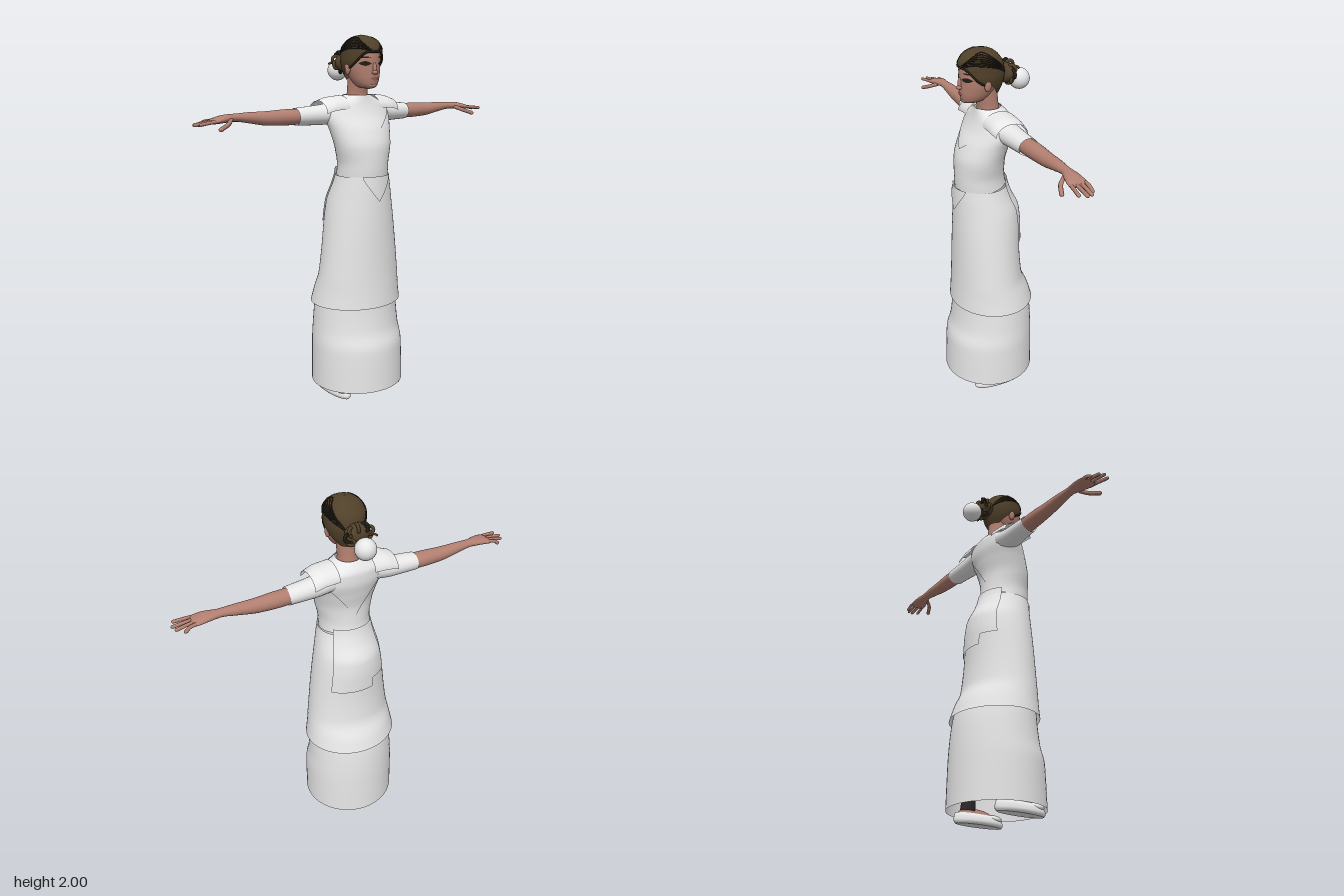
import * as THREE from 'three';
import { mergeVertices } from 'three/addons/utils/BufferGeometryUtils.js';

const mat = (name, color, side = THREE.DoubleSide) => {
  const m = new THREE.MeshStandardMaterial({ color, side });
  m.name = name;
  return m;
};

// Monotone cubic through column k of the rings [y, halfWidth, zFront, zBack, xCentre]
function sample(rings, y, k) {
  const n = rings.length, v = i => rings[i][k] ?? 0;
  let i = 0;
  while (i < n - 2 && y > rings[i + 1][0]) i++;
  const d = j => (v(j + 1) - v(j)) / (rings[j + 1][0] - rings[j][0]);
  const slope = j => {
    if (j === 0) return d(0);
    if (j === n - 1) return d(n - 2);
    const a = d(j - 1), b = d(j);
    return a * b <= 0 ? 0 : 2 * a * b / (a + b);
  };
  const h = rings[i + 1][0] - rings[i][0];
  const t = THREE.MathUtils.clamp((y - rings[i][0]) / h, 0, 1), t2 = t * t, t3 = t2 * t;
  return (2 * t3 - 3 * t2 + 1) * v(i) + (t3 - 2 * t2 + t) * h * slope(i)
    + (3 * t2 - 2 * t3) * v(i + 1) + (t3 - t2) * h * slope(i + 1);
}

// Point on the lofted surface; angle a runs from the front (+z) towards +x
function pointOn(rings, y, a, off = 0) {
  const [w, f, b, cx] = [1, 2, 3, 4].map(k => sample(rings, y, k));
  return new THREE.Vector3(cx + (w + off) * Math.sin(a), y, (f + b) / 2 + ((f - b) / 2 + off) * Math.cos(a));
}

// Piece of a loft between two angles and two (angle dependent) heights
function patch(rings, { a0 = 0, a1 = Math.PI * 2, lo, hi, off = 0, na = 40, ny = 28 } = {}) {
  const bottom = lo ?? (() => rings[0][0]), top = hi ?? (() => rings[rings.length - 1][0]);
  const pos = [], idx = [];
  for (let j = 0; j <= ny; j++) for (let i = 0; i <= na; i++) {
    const a = a0 + (a1 - a0) * i / na;
    const y = THREE.MathUtils.lerp(bottom(a), top(a), j / ny);
    pos.push(...pointOn(rings, y, a, off).toArray());
    if (i < na && j < ny) {
      const p = j * (na + 1) + i, q = p + na + 1;
      idx.push(p, p + 1, q + 1, p, q + 1, q);
    }
  }
  let g = new THREE.BufferGeometry();
  g.setAttribute('position', new THREE.Float32BufferAttribute(pos, 3));
  g.setIndex(idx);
  g = mergeVertices(g, 1e-5);
  g.computeVertexNormals();
  return g;
}

export function createModel() {
  const root = new THREE.Group();
  root.name = 'womanInLongDress';
  const white = mat('white cloth', 0xf6f6f6), skin = mat('skin', 0xb27f70), hair = mat('brown hair', 0x51412a),
    dark = mat('dark strands', 0x211d16), lip = mat('lips', 0x96605a), stocking = mat('dark stockings', 0x2b2826);
  const add = (name, geo, m) => {
    const mesh = new THREE.Mesh(geo, m);
    mesh.name = name;
    root.add(mesh);
    return mesh;
  };
  const ball = (name, m, [x, y, z], [rx, ry, rz]) => {
    const b = add(name, new THREE.SphereGeometry(1, 24, 16), m);
    b.position.set(x, y, z);
    b.scale.set(rx, ry, rz);
  };
  const tube = (name, pts, r, m) =>
    add(name, new THREE.TubeGeometry(new THREE.CatmullRomCurve3(pts), 16, r, 8), m);
  const V = (x, y, z) => new THREE.Vector3(x, y, z);

  // Skirts
  add('underskirt', patch([[0.045, 0.265, 0.26, -0.26], [0.28, 0.262, 0.25, -0.255], [0.38, 0.252, 0.222, -0.25],
    [0.52, 0.24, 0.207, -0.235], [0.7, 0.22, 0.2, -0.17]], { na: 56 }), white);
  const skirt = [[0.525, 0.265, 0.22, -0.25], [0.6, 0.252, 0.215, -0.225], [0.7, 0.237, 0.21, -0.182],
    [0.9, 0.213, 0.205, -0.168], [1.0, 0.2, 0.203, -0.168], [1.1, 0.184, 0.2, -0.16], [1.2, 0.162, 0.196, -0.115],
    [1.255, 0.15, 0.193, -0.095], [1.3, 0.146, 0.19, -0.085]];
  add('overskirt', patch(skirt, { hi: () => 1.255, na: 56 }), white);
  const P = Math.PI;
  add('jacketTail', patch(skirt, { a0: P - 0.85, a1: P + 0.85, lo: a => a < P + 0.3 ? 0.92 : 0.98, hi: () => 1.29, off: 0.008 }), white);
  add('waistPoint', patch(skirt, { a0: -0.6, a1: 0.6, lo: a => 1.25 - 0.13 * (1 - Math.abs(a) / 0.6), hi: () => 1.258, off: 0.008, ny: 6 }), white);

  // Bodice and its pointed collar, front and back
  const bodice = [[1.23, 0.143, 0.187, -0.1], [1.3, 0.143, 0.19, -0.082], [1.4, 0.162, 0.186, -0.077],
    [1.5, 0.185, 0.152, -0.094], [1.58, 0.205, 0.105, -0.108], [1.63, 0.192, 0.083, -0.106],
    [1.66, 0.125, 0.074, -0.09], [1.685, 0.066, 0.068, -0.066]];
  add('bodice', patch(bodice, { lo: a => 1.25 - 0.02 * Math.cos(a) }), white);
  for (const [name, c, tip] of [['frontCollar', 0, 1.47], ['backCollar', P, 1.36]])
    add(name, patch(bodice, { a0: c - 0.95, a1: c + 0.95, lo: a => tip + (1.6 - tip) * Math.abs(a - c) / 0.95, off: 0.005 }), white);

  // Arms, sleeves, shoulder flaps and hands; rings are [x, yCentre, halfHeight, zFront, zBack]
  for (const s of [1, -1]) {
    const side = s > 0 ? 'left' : 'right';
    const limb = (name, rings, m, opt) => add(side + name,
      patch(rings.map(([x, y, h, f, b]) => [x, h, f, b, -s * y]), { na: 24, ny: 24, ...opt }).rotateZ(-s * P / 2), m);
    limb('Sleeve', [[0.12, 1.595, 0.06, 0.05, -0.1], [0.22, 1.582, 0.054, 0.025, -0.1], [0.37, 1.578, 0.046, 0.008, -0.1]], white);
    limb('ShoulderFlap', [[0.1, 1.615, 0.068, 0.08, -0.112], [0.18, 1.61, 0.066, 0.078, -0.112], [0.24, 1.595, 0.063, 0.068, -0.11]],
      white, { a0: s > 0 ? P : 0, a1: s > 0 ? 2 * P : P });
    limb('Arm', [[0.3, 1.578, 0.04, 0, -0.09], [0.42, 1.578, 0.042, -0.005, -0.096], [0.52, 1.578, 0.038, -0.012, -0.092],
      [0.65, 1.588, 0.027, -0.02, -0.082], [0.72, 1.592, 0.02, -0.023, -0.075], [0.78, 1.59, 0.02, -0.003, -0.083],
      [0.84, 1.582, 0.015, 0.01, -0.087], [0.865, 1.578, 0.003, 0, -0.078]], skin);
    const fingers = [[0.9, 1.562, -0.079], [0.935, 1.567, -0.052], [0.945, 1.57, -0.024], [0.93, 1.573, 0.012]];
    fingers.forEach(([x, y, z], i) => {
      const z0 = -0.073 + i * 0.023;
      tube(side + 'Finger', [V(s * 0.82, 1.583, z0), V(s * 0.875, 1.579, (z + z0) / 2), V(s * x, y, z)], 0.009, skin);
      ball(side + 'Fingertip', skin, [s * x, y, z], [0.011, 0.009, 0.009]);
    });
    tube(side + 'Thumb', [V(s * 0.755, 1.585, -0.02), V(s * 0.79, 1.567, 0.018), V(s * 0.84, 1.548, 0.042)], 0.011, skin);
    ball(side + 'ThumbTip', skin, [s * 0.842, 1.547, 0.043], [0.013, 0.011, 0.011]);

    // Shoe, foot and stocking
    const cx = s * 0.18;
    add(side + 'Shoe', patch([[0.001, 0.042, 0.16, -0.13, cx], [0.015, 0.052, 0.17, -0.14, cx],
      [0.04, 0.047, 0.162, -0.138, cx], [0.058, 0.034, 0.12, -0.13, cx]], { ny: 8 }), white);
    const sole = add(side + 'Sole', new THREE.CircleGeometry(1, 32), white);
    sole.rotation.x = P / 2;
    sole.scale.set(0.042, 0.145, 1);
    sole.position.set(cx, 0.001, 0.015);
    ball(side + 'ShoeToe', white, [cx, 0.045, 0.1], [0.042, 0.024, 0.06]);
    ball(side + 'Foot', skin, [cx, 0.052, -0.01], [0.034, 0.035, 0.11]);
    add(side + 'Stocking', patch([[0.07, 0.033, -0.01, -0.1, cx], [0.15, 0.035, -0.015, -0.09, cx],
      [0.35, 0.05, 0.02, -0.09, cx * 0.8], [0.6, 0.06, 0.05, -0.08, cx * 0.6]], { na: 20, ny: 12 }), stocking);
  }

  // Neck and head
  add('neck', patch([[1.64, 0.068, 0.06, -0.065], [1.69, 0.055, 0.062, -0.055], [1.8, 0.055, 0.09, -0.045]], { ny: 10 }), skin);
  const head = [[1.718, 0.004, 0.11, 0.1], [1.724, 0.032, 0.143, 0.045], [1.74, 0.055, 0.152, 0.015], [1.78, 0.075, 0.158, -0.025],
    [1.83, 0.087, 0.158, -0.05], [1.88, 0.09, 0.157, -0.06], [1.93, 0.085, 0.148, -0.05], [1.97, 0.05, 0.11, 0]];
  add('head', patch(head, { ny: 40 }), skin);
  ball('nose', skin, [0, 1.825, 0.156], [0.012, 0.032, 0.015]);
  ball('noseTip', skin, [0, 1.806, 0.161], [0.017, 0.011, 0.018]);
  ball('chin', skin, [0, 1.738, 0.135], [0.026, 0.014, 0.02]);
  add('lips', patch(head, { a0: -0.36, a1: 0.36, off: 0.004, na: 12, ny: 4,
    lo: a => 1.775 - 0.011 * Math.cos(a * 4.3), hi: a => 1.775 + 0.009 * Math.cos(a * 4.3) }), lip);
  for (const s of [1, -1]) {
    const lens = (name, y, h, m) => add(name, patch(head, { a0: s * 0.58 - 0.36, a1: s * 0.58 + 0.36, off: 0.003, na: 12, ny: 4,
      lo: a => y - h * Math.cos((a - s * 0.58) * 4.3), hi: a => y + h * Math.cos((a - s * 0.58) * 4.3) }), m);
    lens('eye', 1.852, 0.012, dark);
    lens('eyebrow', 1.884, 0.004, dark);
    ball('ear', skin, [s * 0.093, 1.825, 0.045], [0.012, 0.032, 0.02]);
  }

  // Swept-back hair with dark strands
  const cap = [[1.755, 0.06, 0.1, -0.05], [1.82, 0.094, 0.14, -0.075], [1.87, 0.106, 0.16, -0.083], [1.92, 0.107, 0.162, -0.075],
    [1.96, 0.088, 0.142, -0.05], [1.985, 0.058, 0.105, -0.018], [1.997, 0.022, 0.062, 0.018], [2.0, 0.001, 0.041, 0.039]];
  const hairline = a => {
    const b = Math.abs(Math.atan2(Math.sin(a), Math.cos(a)));
    return b < 1.4 ? 1.912 - 0.085 * THREE.MathUtils.smoothstep(b, 0.35, 1.4)
      : 1.827 - 0.062 * THREE.MathUtils.smoothstep(b, 1.5, 2.3);
  };
  add('hairCap', patch(cap, { lo: hairline, off: 0.001, ny: 32 }), hair);
  for (const s of [1, -1]) for (let k = 0; k < 8; k++) {
    const pts = [];
    for (let i = 0; i <= 8; i++) {
      const t = i / 8, a = 0.12 + 0.1 * k + (2.75 - 0.1 * k) * t;
      const y = 1.915 + 0.009 * k + 0.025 * Math.sin(t * P) - (0.06 + 0.012 * k) * t * t;
      pts.push(pointOn(cap, Math.max(y, hairline(a)), s * a));
    }
    tube('hairStrand', pts, 0.0035, dark);
  }
  tube('hairlineEdge', Array.from({ length: 17 }, (_, i) => {
    const a = (i / 8 - 1) * 1.4;
    return pointOn(cap, hairline(a), a);
  }), 0.006, dark);

  // Curled bun and round hair ornament
  ball('bun', hair, [0, 1.855, -0.095], [0.07, 0.055, 0.045]);
  for (let k = 0; k < 9; k++) {
    const a = k / 9 * P * 2, x = 0.06 * Math.cos(a), y = 1.855 + 0.042 * Math.sin(a);
    const curl = add('bunCurl', new THREE.TorusGeometry(0.02, 0.009, 8, 16), k % 3 ? hair : dark);
    curl.position.set(x, y, -0.115);
    curl.rotation.set(0.5 * Math.sin(a), a, 0);
    if (k % 2) tube('looseCurl', [V(x, y, -0.11), V(x * 1.3, y + 0.012, -0.135), V(x * 1.55, y + 0.004, -0.142)], 0.006, k % 3 ? hair : dark);
  }
  ball('hairOrnament', white, [0, 1.81, -0.18], [0.056, 0.056, 0.056]);
  return root;
}
